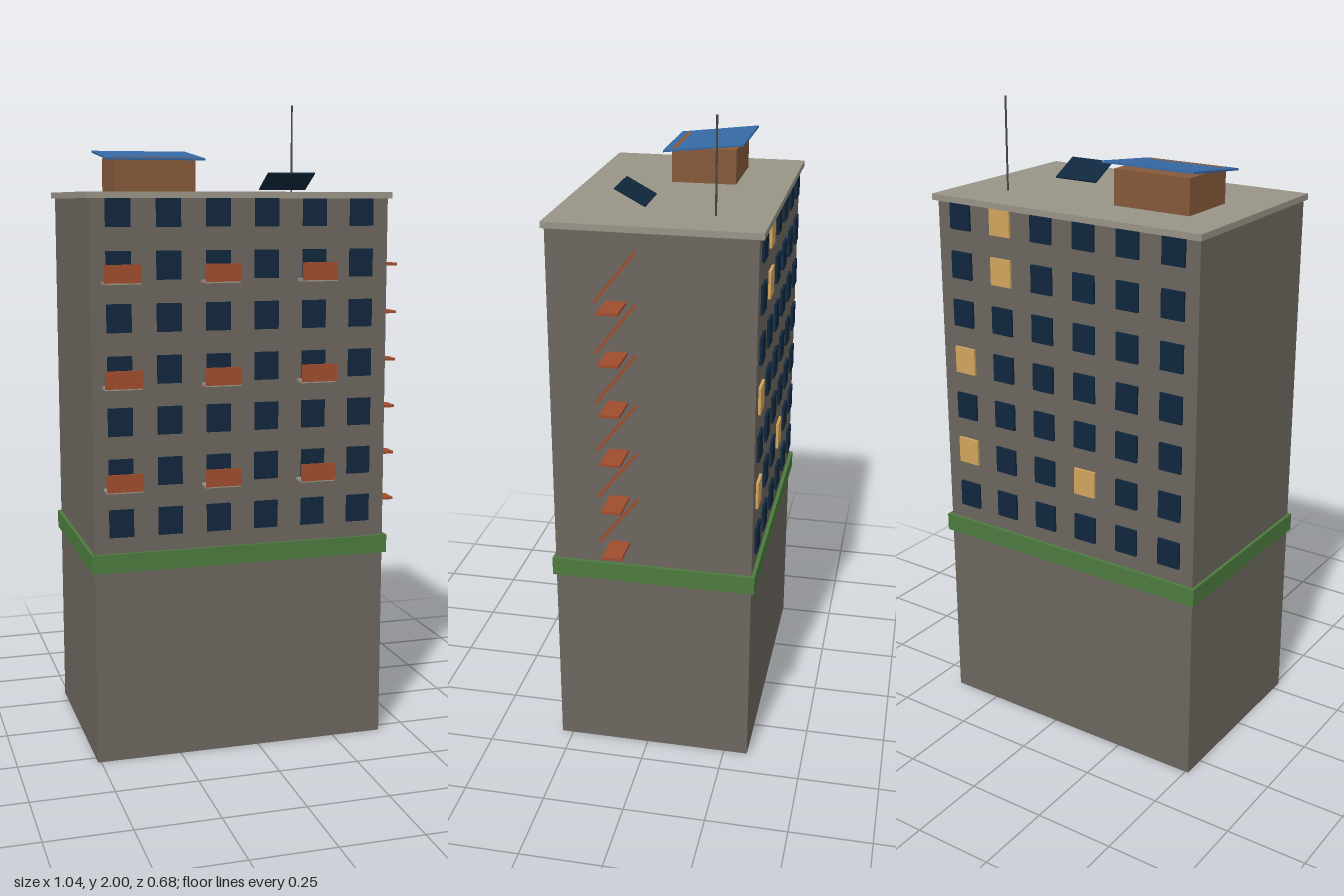
import * as THREE from 'three';

const mat = (name, color) => {
  const m = new THREE.MeshStandardMaterial({ color });
  m.name = name;
  return m;
};

export function createModel() {
  const model = new THREE.Group();
  model.name = 'apartmentBlock';

  const wall = mat('concrete', 0x6c665e);
  const slab = mat('paleConcrete', 0x999487);
  const green = mat('green', 0x4c7a3e);
  const glass = mat('darkGlass', 0x10273d);
  const lit = mat('litWindow', 0xd2a55c);
  const rust = mat('rust', 0xa04c2e);
  const wood = mat('wood', 0x85593a);
  const blue = mat('blueSheet', 0x3569a5);
  const metal = mat('darkMetal', 0x4c4846);

  // Box given by its minimum and maximum corners
  const box = (name, material, [x0, y0, z0], [x1, y1, z1], parent = model) => {
    const mesh = new THREE.Mesh(new THREE.BoxGeometry(x1 - x0, y1 - y0, z1 - z0), material);
    mesh.position.set((x0 + x1) / 2, (y0 + y1) / 2, (z0 + z1) / 2);
    mesh.name = name;
    parent.add(mesh);
    return mesh;
  };
  const group = (name) => {
    const g = new THREE.Group();
    g.name = name;
    model.add(g);
    return g;
  };

  // Main volume, planted ledge and roof slab
  box('tower', wall, [-0.51, 0, -0.325], [0.408, 1.7, 0.286]);
  box('greenLedge', green, [-0.52, 0.593, -0.336], [0.42, 0.65, 0.295]);
  box('roofSlab', slab, [-0.52, 1.697, -0.34], [0.42, 1.716, 0.294]);

  // Window grid on front and back, a few back windows lit (row,column)
  const windows = group('windows');
  const columnX = (c) => -0.428 + c * 0.15;
  const rowY = (r) => 0.742 + r * 0.1525;
  const litBack = new Set(['6,4', '5,4', '3,5', '1,5', '1,2']);
  for (let r = 0; r < 7; r++) {
    for (let c = 0; c < 6; c++) {
      const x = columnX(c), y = rowY(r);
      box('frontWindow', glass, [x - 0.037, y - 0.042, 0.285], [x + 0.037, y + 0.042, 0.293], windows);
      box('backWindow', litBack.has(`${r},${c}`) ? lit : glass,
        [x - 0.037, y - 0.042, -0.333], [x + 0.037, y + 0.042, -0.324], windows);
    }
  }

  // Balconies: thin floor with a rust-coloured front panel
  const balconies = group('balconies');
  for (const r of [1, 3, 5]) {
    for (const c of [0, 2, 4]) {
      const x = columnX(c) + 0.003, y = rowY(r) - 0.048;
      box('balconyFloor', slab, [x - 0.055, y - 0.004, 0.285], [x + 0.055, y + 0.004, 0.335], balconies);
      box('balconyPanel', rust, [x - 0.055, y, 0.333], [x + 0.055, y + 0.053, 0.338], balconies);
    }
  }

  // Fire escape: landings joined by sloping ladders
  const fireEscape = group('fireEscape');
  for (let i = 0; i < 6; i++) {
    const y = 0.722 + i * 0.1535;
    box('landing', rust, [0.407, y - 0.004, 0.05], [0.518, y + 0.004, 0.11], fireEscape);
    const run = 0.122, rise = 0.1535;
    const ladder = new THREE.Mesh(new THREE.BoxGeometry(0.008, 0.008, Math.hypot(run, rise)), rust);
    ladder.position.set(0.419, y + rise / 2, 0.083);
    ladder.rotation.x = Math.atan2(rise, run);
    ladder.name = 'ladder';
    fireEscape.add(ladder);
  }

  // Rooftop hut under a sloping sheet roof
  box('hut', wood, [-0.382, 1.71, -0.172], [-0.128, 1.823, 0.03]);
  const hutRoof = box('hutRoof', blue, [-0.41, 1.827, -0.2], [-0.102, 1.833, 0.054]);
  hutRoof.rotation.x = 0.115;

  // Tilted solar panel
  const panel = box('solarPanel', glass, [0.078, 1.747, 0.028], [0.23, 1.752, 0.132]);
  panel.rotation.x = -0.49;

  // Antenna
  const antenna = new THREE.Mesh(new THREE.CylinderGeometry(0.003, 0.003, 0.29, 6), metal);
  antenna.position.set(0.257, 1.855, -0.177);
  antenna.name = 'antenna';
  model.add(antenna);

  return model;
}
